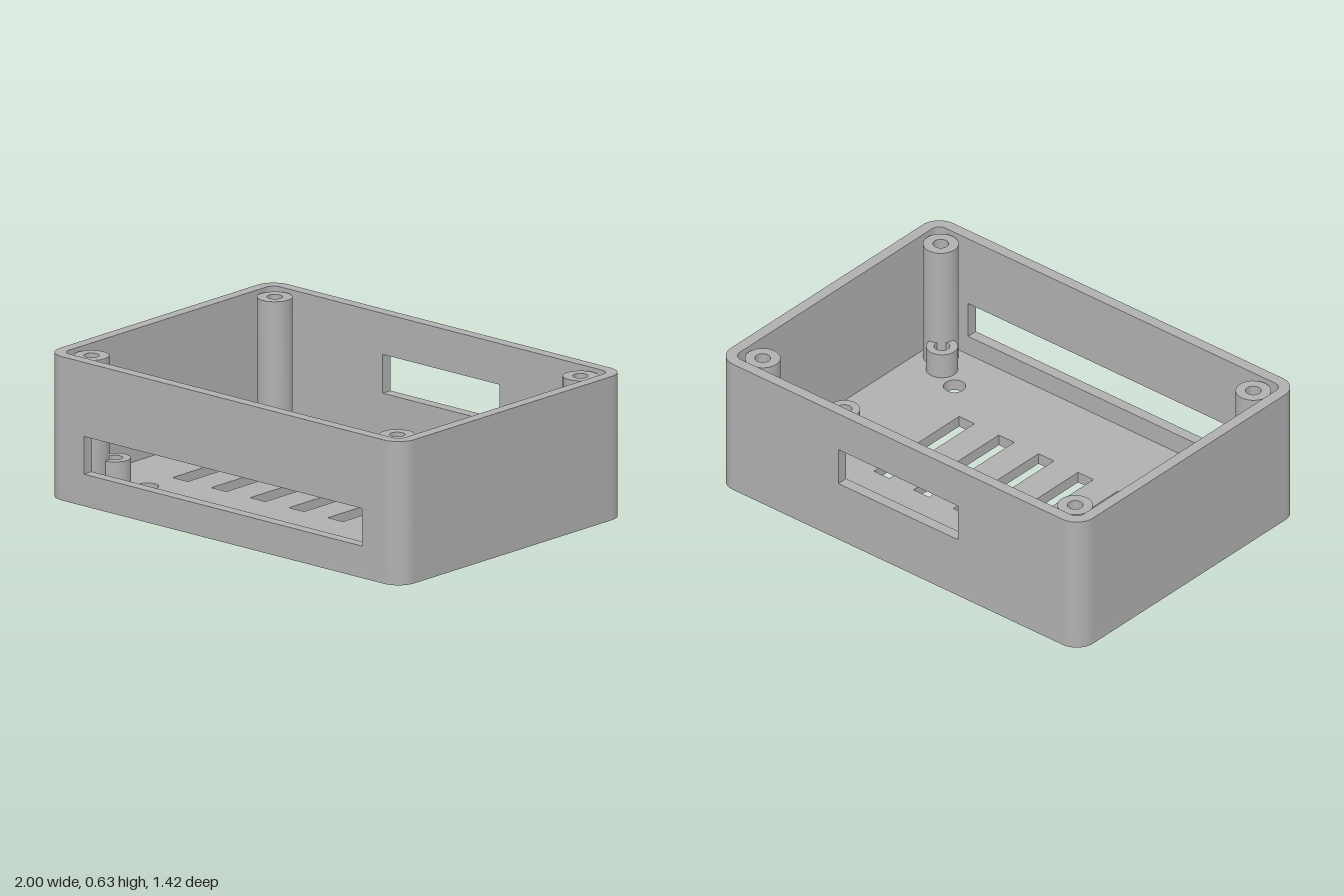
import * as THREE from 'three';
import { toCreasedNormals } from 'three/addons/utils/BufferGeometryUtils.js';

const W = 1, D = 0.71, H = 0.63;      // half width, half depth, height
const WALL = 0.05, FLOOR = 0.05, R = 0.09;
const CX = W - R, CZ = D - R;         // centres of the rounded corners

function rectPath(x0, y0, x1, y1, PathType = THREE.Path) {
  const p = new PathType();
  p.moveTo(x0, y0);
  p.lineTo(x1, y0);
  p.lineTo(x1, y1);
  p.lineTo(x0, y1);
  p.closePath();
  return p;
}

function circlePath(x, y, r) {
  return new THREE.Path().absarc(x, y, r, 0, Math.PI * 2, true);
}

function extrude(shape, depth) {
  const geo = new THREE.ExtrudeGeometry(shape, { depth, bevelEnabled: false, curveSegments: 16 });
  return toCreasedNormals(geo, 0.6);
}

// Extrude upward: shape lies in the ground plane
function extrudeUp(shape, height) {
  return extrude(shape, height).rotateX(-Math.PI / 2);
}

export function createModel() {
  const group = new THREE.Group();
  group.name = 'enclosure';
  const plastic = new THREE.MeshStandardMaterial({ color: 0xb0b0b0 });
  plastic.name = 'grey plastic';

  const add = (name, geo, x = 0, y = 0, z = 0) => {
    const mesh = new THREE.Mesh(geo, plastic);
    mesh.name = name;
    mesh.position.set(x, y, z);
    group.add(mesh);
    return mesh;
  };

  // Floor with vent slots and screw holes
  const floor = new THREE.Shape();
  floor.absarc(CX, CZ, R, 0, Math.PI / 2);
  floor.absarc(-CX, CZ, R, Math.PI / 2, Math.PI);
  floor.absarc(-CX, -CZ, R, Math.PI, Math.PI * 1.5);
  floor.absarc(CX, -CZ, R, Math.PI * 1.5, Math.PI * 2);
  for (let i = 0; i < 6; i++) {
    const x = -0.675 + i * 0.219;
    floor.holes.push(rectPath(x, -0.275, x + 0.085, 0.275));
  }
  for (const sx of [-1, 1]) {
    for (const sz of [-1, 1]) floor.holes.push(circlePath(sx * 0.67, sz * 0.438, 0.047));
  }
  add('floor', extrudeUp(floor, FLOOR));

  // Front and back walls, each with a port opening
  const portWall = (name, halfWidth, y0, y1, z) => {
    const shape = rectPath(-CX, FLOOR, CX, H, THREE.Shape);
    shape.holes.push(rectPath(-halfWidth, y0, halfWidth, y1));
    add(name, extrude(shape, WALL), 0, 0, z);
  };
  portWall('frontWall', 0.785, 0.14, 0.305, D - WALL);
  portWall('backWall', 0.33, 0.28, 0.45, -D);

  // Plain side walls
  for (const [side, s] of [['left', 1], ['right', -1]]) {
    add(side + 'Wall', new THREE.BoxGeometry(WALL, H - FLOOR, CZ * 2),
      s * (W - WALL / 2), (H + FLOOR) / 2, 0);
  }

  // Rounded corner walls
  const corner = new THREE.Shape();
  corner.absarc(0, 0, R, 0, Math.PI / 2, false);
  corner.absarc(0, 0, R - WALL, Math.PI / 2, 0, true);
  corner.closePath();
  const cornerGeo = extrudeUp(corner, H - FLOOR);
  const corners = [[1, -1], [-1, -1], [-1, 1], [1, 1]];
  corners.forEach(([sx, sz], i) => {
    add('cornerWall', cornerGeo, sx * CX, FLOOR, sz * CZ).rotation.y = i * Math.PI / 2;
  });

  // Hollow posts: tall ones for the lid, short ones for the circuit board
  const tube = (radius, bore, height) => {
    const ring = new THREE.Shape().absarc(0, 0, radius, 0, Math.PI * 2, false);
    ring.holes.push(circlePath(0, 0, bore));
    return extrudeUp(ring, height);
  };
  const postGeo = tube(0.075, 0.033, 0.615 - FLOOR);
  const standoffGeo = tube(0.067, 0.033, 0.165 - FLOOR);
  for (const s of [-1, 1]) {
    for (const z of [-0.575, 0.575]) add('lidPost', postGeo, s * 0.863, FLOOR, z);
    for (const z of [-0.128, 0.503]) add('boardStandoff', standoffGeo, s * 0.795, FLOOR, z);
  }

  return group;
}
